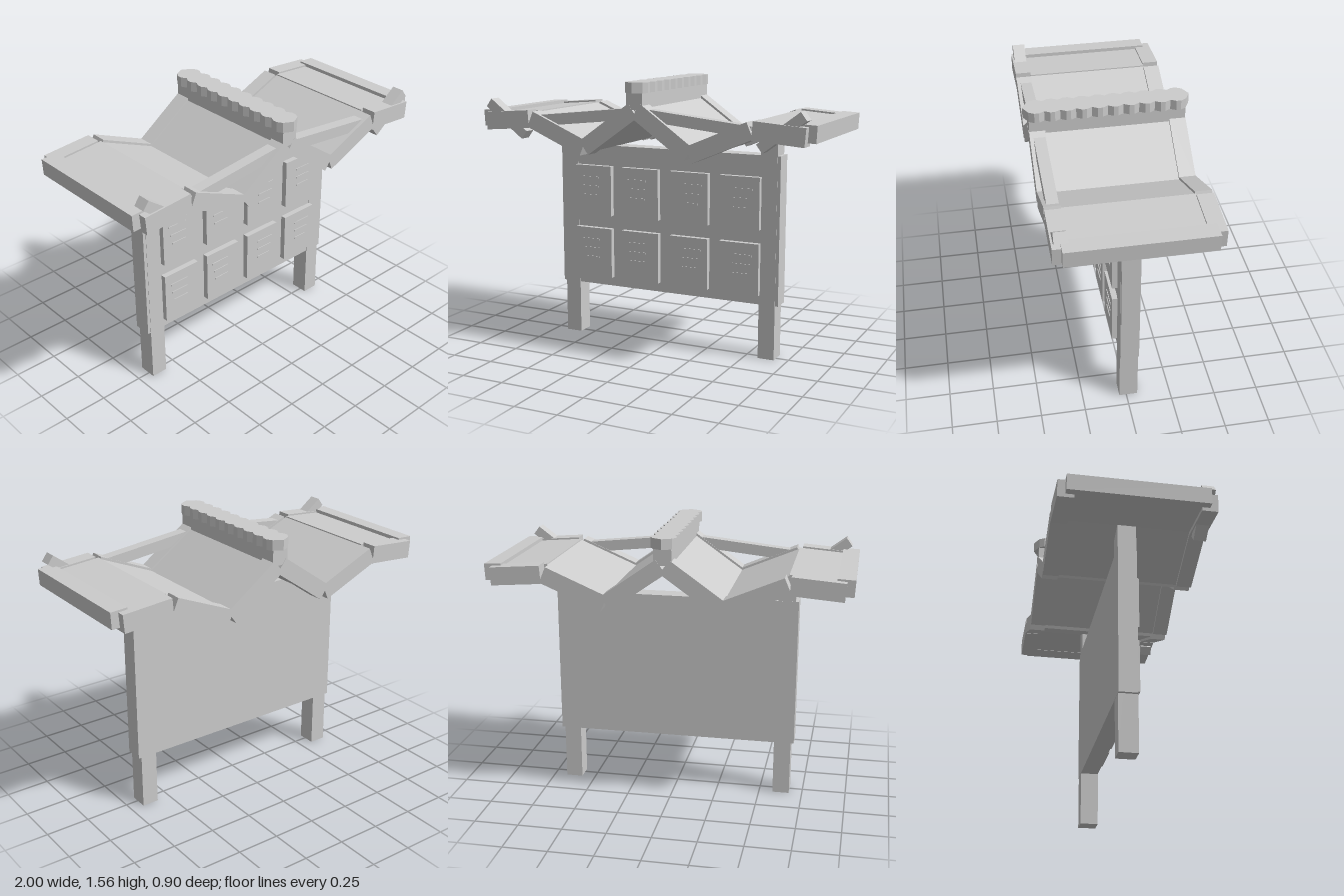
import * as THREE from 'three';

export function createModel() {
  const group = new THREE.Group();
  const grey = new THREE.MeshStandardMaterial({ color: 0xcccccc });

  const add = (name, geometry) => {
    const mesh = new THREE.Mesh(geometry, grey);
    mesh.name = name;
    group.add(mesh);
    return mesh;
  };

  // Axis-aligned box given by its limits
  const box = (name, x0, x1, y0, y1, z0, z1) => {
    const mesh = add(name, new THREE.BoxGeometry(x1 - x0, y1 - y0, z1 - z0));
    mesh.position.set((x0 + x1) / 2, (y0 + y1) / 2, (z0 + z1) / 2);
    return mesh;
  };

  // Box along a line in the xy plane, mirrored to both sides
  const barPair = (name, [ax, ay], [bx, by], thick, z0, z1) => {
    for (const s of [1, -1]) {
      const mesh = add(name, new THREE.BoxGeometry(Math.hypot(bx - ax, by - ay), thick, z1 - z0));
      mesh.position.set(s * (ax + bx) / 2, (ay + by) / 2, (z0 + z1) / 2);
      mesh.rotation.z = Math.atan2(by - ay, s * (bx - ax));
    }
  };

  // Board and posts
  box('board', -0.693, 0.693, 0.315, 1.16, -0.065, 0.038);
  for (const s of [1, -1]) {
    const c = s * 0.627;
    box('post', c - 0.048, c + 0.048, 0, 1.31, -0.064, 0.04);
  }

  // Notice panels with raised lines of writing
  const columns = [-0.463, -0.156, 0.156, 0.466];
  for (const cx of columns) {
    for (const cy of [0.892, 0.518]) {
      box('noticePanel', cx - 0.119, cx + 0.119, cy - 0.148, cy + 0.148, 0.03, 0.07);
      const s = Math.sign(cx);
      [0.078, 0.024, -0.03].forEach((dy, i) => {
        const mid = cx + s * (0.02 - i * 0.004);
        const half = 0.06 - i * 0.006;
        box('noticeLine', mid - half, mid + half, cy + dy - 0.005, cy + dy + 0.005, 0.068, 0.074);
      });
    }
  }

  // Roof frame beams, front and back
  for (const [z0, z1] of [[0.338, 0.425], [-0.428, -0.338]]) {
    barPair('outerBeam', [0.955, 1.315], [0.672, 1.337], 0.1, z0, z1);
    barPair('lowerBeam', [0.66, 1.337], [0.322, 1.193], 0.094, z0, z1);
    barPair('upperBeam', [0.314, 1.195], [0.01, 1.41], 0.092, z0, z1);
  }

  // Roof slabs between the beams
  barPair('outerSlab', [0.93, 1.322], [0.655, 1.344], 0.07, -0.34, 0.34);
  barPair('lowerSlab', [0.67, 1.342], [0.32, 1.194], 0.066, -0.34, 0.34);
  barPair('upperSlab', [0.318, 1.194], [0, 1.418], 0.066, -0.34, 0.34);

  // Eave rails at both ends
  barPair('eaveRail', [0.905, 1.333], [1.0, 1.328], 0.092, -0.385, 0.38);

  // Tie bars and short braces on the front
  barPair('tieBar', [0.66, 1.325], [0, 1.395], 0.062, 0.342, 0.405);
  barPair('brace', [0.942, 1.42], [0.708, 1.245], 0.056, 0.345, 0.415);

  // Ridge support and scalloped ridge cap
  box('ridgeSupport', -0.048, 0.048, 1.415, 1.51, -0.426, 0.424);
  const lobes = 10, pitch = 0.085, half = lobes * pitch / 2;
  const side = [];
  for (let i = 0; i < lobes; i++) {
    const z = -half + i * pitch;
    side.push([0.052, z], [0.069, z + pitch * 0.35], [0.069, z + pitch * 0.65]);
  }
  side.push([0.052, half]);
  const outline = [
    [0, -0.452], ...side, [0, 0.452],
    ...side.map(([x, z]) => [-x, z]).reverse(),
  ].map(([x, z]) => new THREE.Vector2(x, z));
  const cap = new THREE.ExtrudeGeometry(new THREE.Shape(outline), { depth: 0.057, bevelEnabled: false });
  cap.rotateX(-Math.PI / 2);
  add('ridgeCap', cap).position.y = 1.505;

  return group;
}
